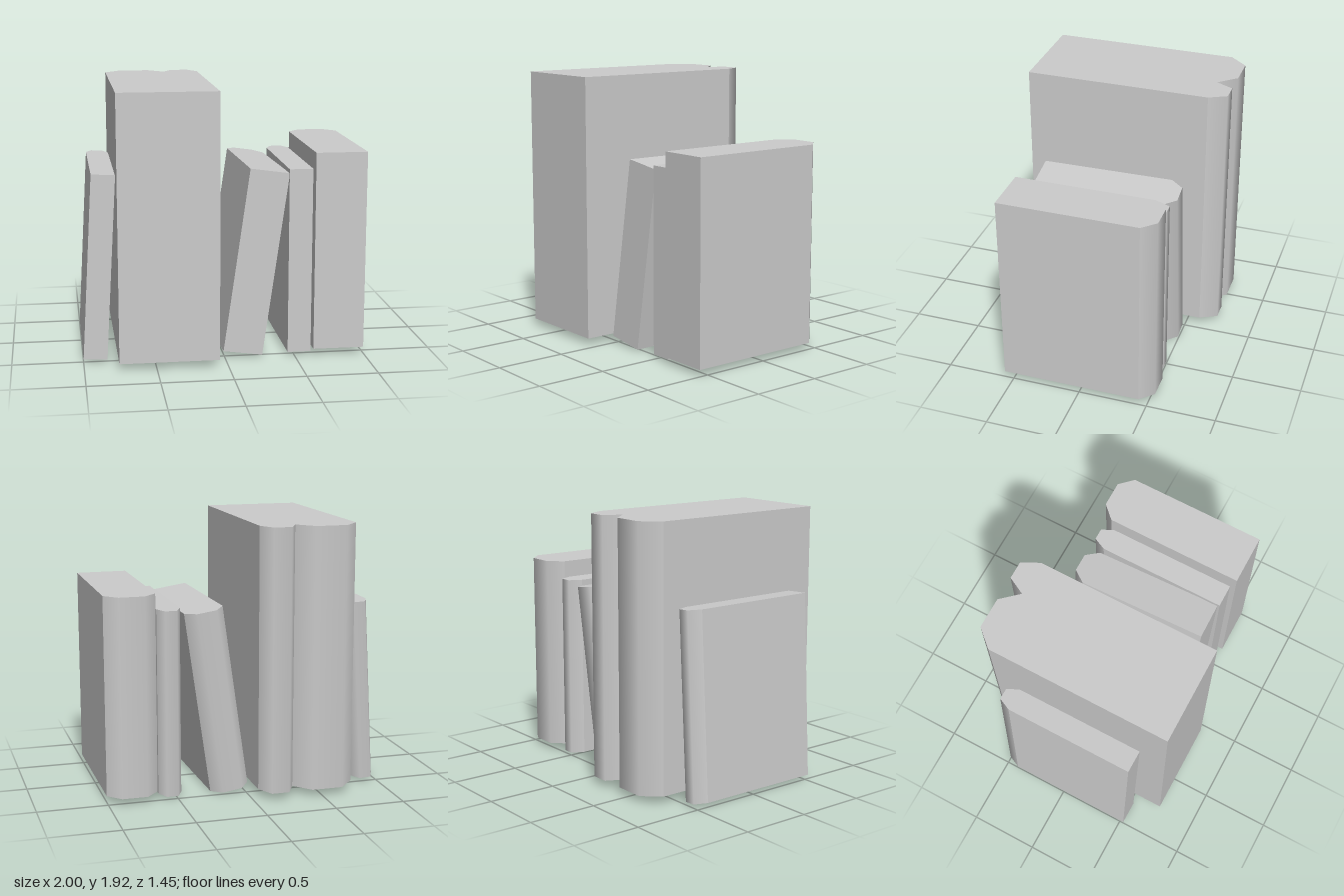
import * as THREE from 'three';

// One book: upright block with a three-sided, softly shaded spine at the back.
// Its local origin is the front left bottom corner.
function bookGeometry(w, h, d, spine) {
  const c = w * 0.25, side = d - spine;
  const shape = new THREE.Shape([
    [0, 0], [w, 0], [w, side], [w - c, d], [c, d], [0, side],
  ].map(([x, y]) => new THREE.Vector2(x, y)));
  const geo = new THREE.ExtrudeGeometry(shape, { depth: h, bevelEnabled: false });
  geo.rotateX(-Math.PI / 2);

  // Smooth the spine across its facets, keeping its outer edges sharp
  const pos = geo.attributes.position, nor = geo.attributes.normal;
  const bevel = new THREE.Vector2(spine, c).normalize();
  const inner = new THREE.Vector2(bevel.x, bevel.y + 1).normalize();
  for (let i = 0; i < pos.count; i++) {
    if (nor.getZ(i) > -0.1) continue;
    const s = pos.getX(i) < w / 2 ? -1 : 1;
    const n = pos.getZ(i) < -d + 0.001 ? inner : bevel;
    nor.setXYZ(i, s * n.x, 0, -n.y);
  }
  return geo;
}

export function createModel() {
  const group = new THREE.Group();
  group.name = 'bookRow';
  const material = new THREE.MeshStandardMaterial({ color: 0xcccccc });

  // size: width, height, depth, spine depth; at: front left bottom corner;
  // up and out: directions of the book's height and of its front
  const books = [
    { name: 'thinLeaningBook', size: [0.167, 1.32, 1.03, 0.09], at: [-1, 0.03, 0.53], up: [0.057, 1, 0] },
    { name: 'tallThickBook', size: [0.445, 1.875, 1.45, 0.125], at: [-0.76, 0.05, 0.725] },
    { name: 'tallNarrowBook', size: [0.255, 1.875, 1.45, 0.125], at: [-0.315, 0.05, 0.725] },
    { name: 'mediumLeaningBook', size: [0.283, 1.324, 1.03, 0.09], at: [-0.01, 0.05, 0.54],
      up: [0.145, 1, -0.0136], out: [0.032, 0.009, 1] },
    { name: 'thinUprightBook', size: [0.167, 1.33, 1.03, 0.09], at: [0.455, 0.02, 0.53] },
    { name: 'thickUprightBook', size: [0.365, 1.42, 1.105, 0.095], at: [0.635, 0.048, 0.567] },
  ];

  for (const { name, size, at, up = [0, 1, 0], out = [0, 0, 1] } of books) {
    const mesh = new THREE.Mesh(bookGeometry(...size), material);
    const y = new THREE.Vector3(...up).normalize();
    const x = new THREE.Vector3().crossVectors(y, new THREE.Vector3(...out)).normalize();
    const z = new THREE.Vector3().crossVectors(x, y);
    mesh.quaternion.setFromRotationMatrix(new THREE.Matrix4().makeBasis(x, y, z));
    mesh.position.set(...at);
    mesh.name = name;
    group.add(mesh);
  }
  return group;
}
